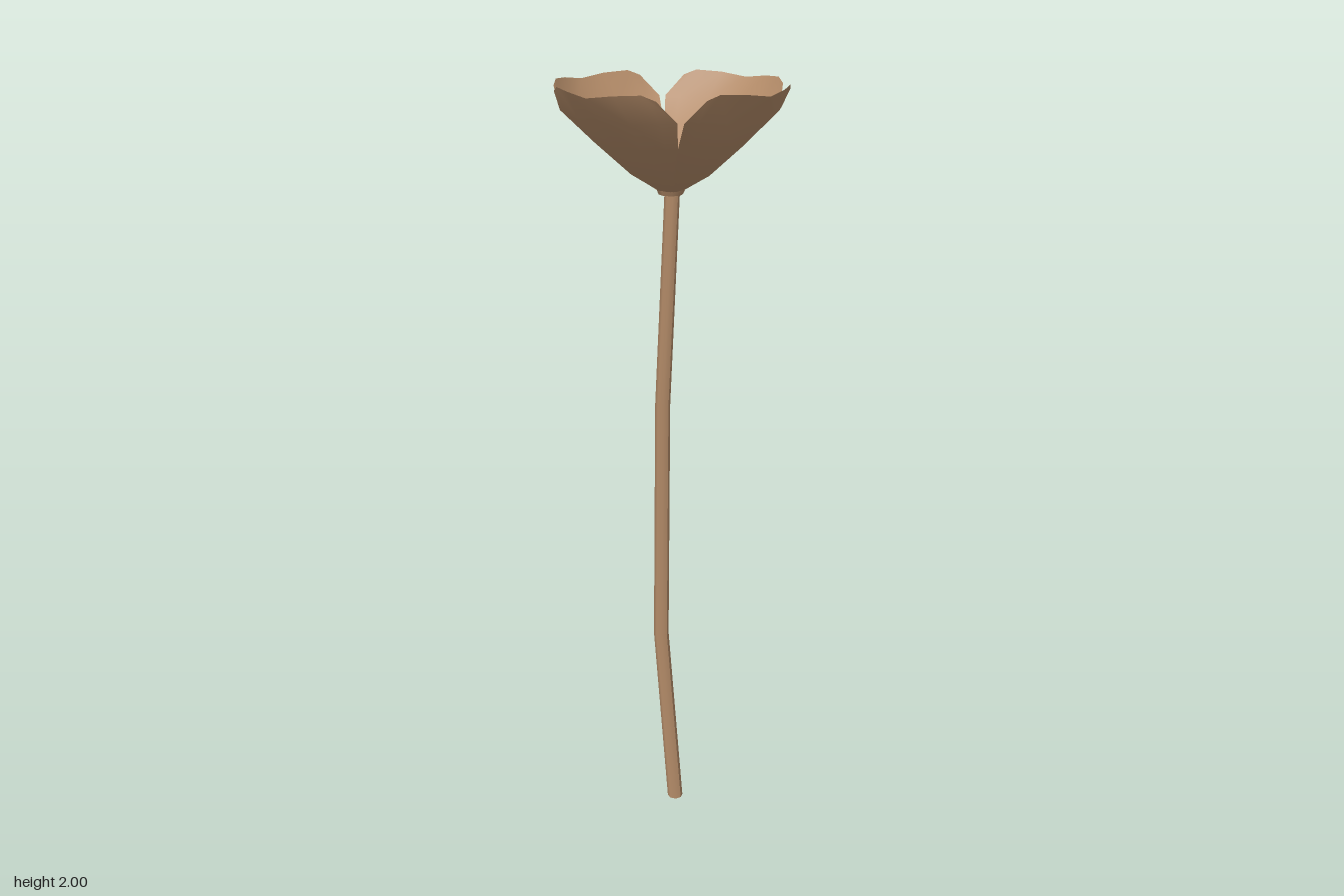
import * as THREE from 'three';

const material = new THREE.MeshStandardMaterial({ color: 0xb38b68, side: THREE.DoubleSide });

function add(parent, name, geometry) {
  const mesh = new THREE.Mesh(geometry, material);
  mesh.name = name;
  parent.add(mesh);
  return mesh;
}

// Stem: a prism whose rings are moved onto a gently bent line
function stemGeometry() {
  const bends = [[0, 0.016], [0.51, -0.035], [1.18, -0.028], [1.75, 0.005]]; // y, z
  const geo = new THREE.CylinderGeometry(0.019, 0.021, 3, 8, 3);
  const p = geo.attributes.position;
  for (let i = 0; i < p.count; i++) {
    const [y, z] = bends[Math.round(p.getY(i) + 1.5)];
    p.setY(i, y);
    p.setZ(i, p.getZ(i) + z);
  }
  geo.computeVertexNormals();
  return geo;
}

// Petal: rows from base to rim, each bowed around the cup
function petalGeometry() {
  // half width, middle z, edge setback, middle y, edge rise, curl
  const rows = [
    [0.022, 0.025, 0.008, 1.737, 0, 0],
    [0.072, 0.1, 0.03, 1.78, 0.003, 0],
    [0.135, 0.19, 0.056, 1.86, 0.003, 0],
    [0.182, 0.247, 0.054, 1.925, 0.01, 0],
    [0.157, 0.295, 0.058, 1.985, 0, 0.015],
  ];
  const columns = [-1, -0.83, -0.45, 0, 0.45, 0.83, 1];
  const positions = [], index = [], n = columns.length;
  rows.forEach(([w, z, back, y, rise, curl], r) => columns.forEach((u, c) => {
    const q = u * u;
    positions.push(w * u, y + rise * q + curl * Math.sin(Math.PI * q), z - back * q);
    if (r && c) {
      const d = r * n + c, b = d - n;
      index.push(b - 1, d - 1, b, b, d - 1, d);
    }
  }));
  const geo = new THREE.BufferGeometry();
  geo.setAttribute('position', new THREE.Float32BufferAttribute(positions, 3));
  geo.setIndex(index);
  geo.computeVertexNormals();
  return geo;
}

// Thin tapered filament from the flower's heart to its tip
function stamenGeometry(angle, reach, height) {
  const at = (r, y) => new THREE.Vector3(Math.sin(angle) * r, y, Math.cos(angle) * r);
  const curve = new THREE.QuadraticBezierCurve3(
    at(0.004, 1.745), at(reach * 0.4, 1.75 + height * 0.8), at(reach, 1.75 + height));
  return new THREE.TubeGeometry(curve, 3, 0.003, 4);
}

export function createModel() {
  const flower = new THREE.Group();
  flower.name = 'flower';

  add(flower, 'stem', stemGeometry());
  add(flower, 'receptacle', new THREE.CylinderGeometry(0.038, 0.03, 0.018, 8)).position.y = 1.739;

  // Four petals around the cup
  const petal = petalGeometry();
  for (let i = 0; i < 4; i++) add(flower, 'petal', petal).rotation.y = i * Math.PI / 2;

  // Stamens fanned around a small pistil
  const stamens = new THREE.Group();
  stamens.name = 'stamens';
  flower.add(stamens);
  for (let i = 0; i < 24; i++) {
    const reach = 0.042 + 0.012 * (i % 3);
    add(stamens, 'stamen', stamenGeometry(i * 2.4, reach, 0.035 + 0.012 * (i % 4)));
  }
  add(flower, 'pistil', new THREE.CylinderGeometry(0.005, 0.009, 0.06, 6)).position.y = 1.775;

  return flower;
}
